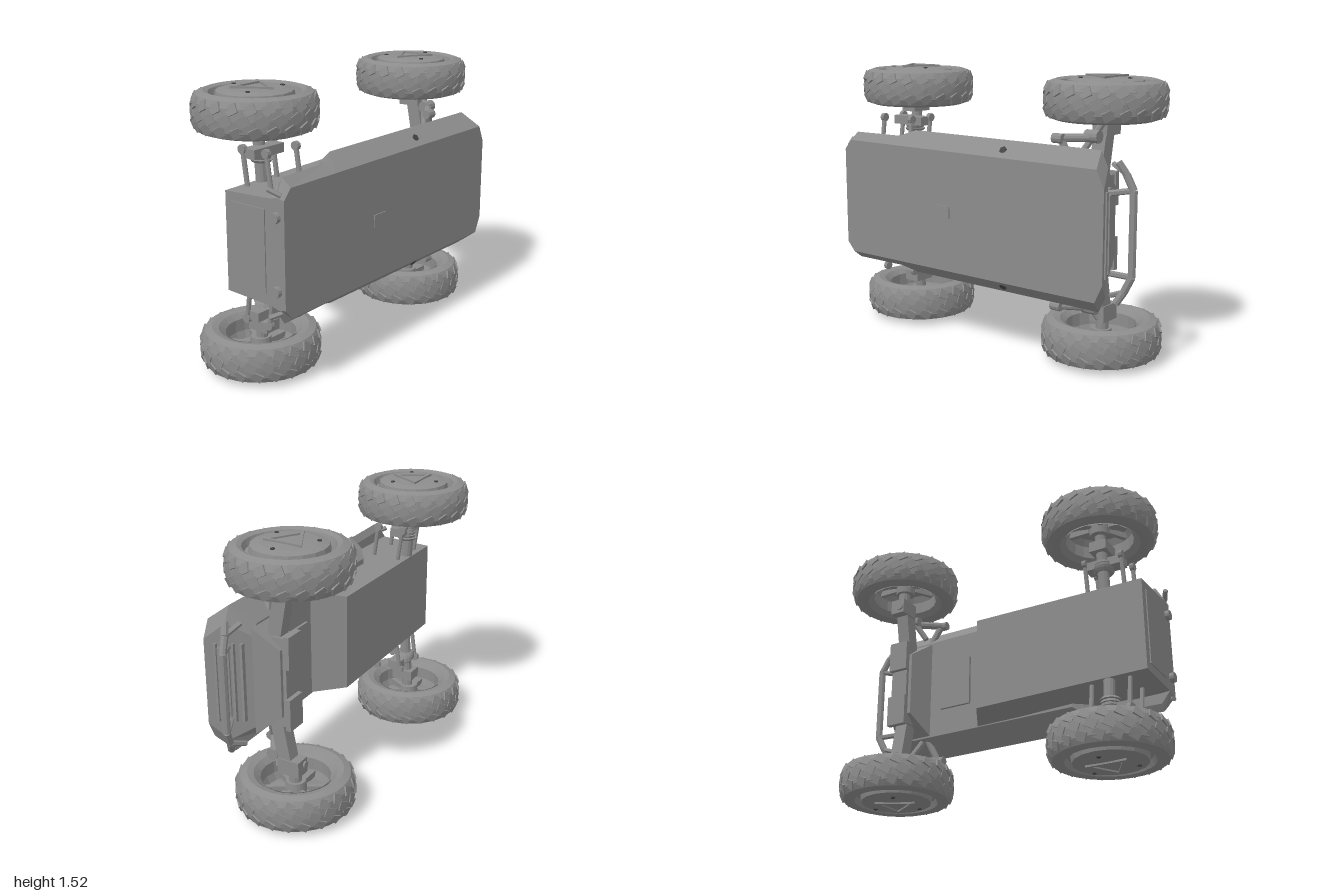
import * as THREE from 'three';

const grey = new THREE.MeshStandardMaterial({ color: 0x8c8c8c, flatShading: true, side: THREE.DoubleSide });
grey.name = 'bodyGrey';
const dark = new THREE.MeshStandardMaterial({ color: 0x444444, flatShading: true });
dark.name = 'holeDark';

const V = (x, y, z) => new THREE.Vector3(x, y, z);

function add(parent, name, geo, pos = [0, 0, 0], rot = [0, 0, 0], mat = grey) {
  const m = new THREE.Mesh(geo, mat);
  m.name = name;
  m.position.set(...pos);
  m.rotation.set(...rot);
  parent.add(m);
  return m;
}
const box = (p, name, size, pos, rot) => add(p, name, new THREE.BoxGeometry(...size), pos, rot);

// Straight member between two points
function bar(p, name, a, b, w, sides = 4) {
  const A = V(...a), B = V(...b), d = B.clone().sub(A);
  const geo = new THREE.CylinderGeometry(w, w, d.length(), sides);
  if (sides === 4) geo.rotateY(Math.PI / 4);
  const m = add(p, name, geo);
  m.position.copy(A).addScaledVector(d, 0.5);
  m.quaternion.setFromUnitVectors(V(0, 1, 0), d.normalize());
  return m;
}

// Shell through stations along x; each station lists [x, z, halfWidth], mirrored across y
function loft(stations) {
  const rings = stations.map(s => [
    ...s.map(([x, z, h]) => [x, h, z]),
    ...[...s].reverse().map(([x, z, h]) => [x, -h, z])]);
  const n = rings[0].length, pos = rings.flat(2), idx = [];
  for (let s = 0; s < rings.length - 1; s++)
    for (let i = 0; i < n; i++) {
      const j = (i + 1) % n, a = s * n, b = a + n;
      idx.push(a + i, b + i, b + j, a + i, b + j, a + j);
    }
  const last = (rings.length - 1) * n;
  for (let k = 0; k < n / 2 - 1; k++) {
    const q = [k, k + 1, n - 2 - k, n - 1 - k];
    idx.push(q[0], q[1], q[2], q[0], q[2], q[3]);
    idx.push(last + q[0], last + q[2], last + q[1], last + q[0], last + q[3], last + q[2]);
  }
  const g = new THREE.BufferGeometry();
  g.setAttribute('position', new THREE.Float32BufferAttribute(pos, 3));
  g.setIndex(idx);
  const out = g.toNonIndexed();
  out.computeVertexNormals();
  return out;
}

const lathe = (pts, seg) => new THREE.LatheGeometry(pts.map(p => new THREE.Vector2(...p)), seg);

// Wheel with its axis on y, outer face towards +y
function wheel(name, turn) {
  const g = new THREE.Group();
  g.name = name;
  add(g, 'tyre', lathe([[0.2, -0.07], [0.225, -0.095], [0.26, -0.105], [0.298, -0.092], [0.316, -0.06],
    [0.322, 0], [0.316, 0.06], [0.298, 0.092], [0.26, 0.105], [0.235, 0.095], [0.22, 0.06]], 30));
  // Tread lugs in slanted rows
  for (let i = 0; i < 22; i++)
    for (const row of [-1, 0, 1]) {
      const holder = new THREE.Group();
      holder.name = 'treadLug';
      holder.rotation.y = (i + row * 0.35) / 22 * Math.PI * 2;
      const m = box(holder, 'lug', [0.01, 0.05, 0.06], [row ? 0.312 : 0.319, row * 0.056, 0]);
      m.rotation.set(0.45, 0, row * 0.32);
      g.add(holder);
    }
  // Outer cover and deep inner rim
  add(g, 'rimCover', lathe([[0.225, 0.06], [0.205, 0.068], [0.198, 0.1], [0.15, 0.112], [0.07, 0.116], [0, 0.117]], 18));
  add(g, 'innerRim', lathe([[0, -0.04], [0.055, -0.04], [0.06, 0.02], [0.17, 0.04], [0.188, 0], [0.19, -0.07], [0.205, -0.085]], 20));
  for (let i = 0; i < 6; i++) {
    const a = i * Math.PI / 3;
    box(g, 'innerSpoke', [0.12, 0.035, 0.025], [Math.cos(a) * 0.12, 0.015, Math.sin(a) * 0.12], [0, -a, 0]);
  }
  // Triangular emblem-free hub frame and bolts
  const hub = new THREE.Group();
  hub.name = 'hubTriangle';
  hub.rotation.y = turn;
  const tri = (r, S) => {
    const s = new S();
    for (let i = 0; i < 3; i++) {
      const a = -Math.PI / 2 + i * Math.PI * 2 / 3;
      s[i ? 'lineTo' : 'moveTo'](Math.cos(a) * r, Math.sin(a) * r);
    }
    s.closePath();
    return s;
  };
  const shape = tri(0.13, THREE.Shape);
  shape.holes.push(tri(0.095, THREE.Path));
  add(hub, 'triangleFrame', new THREE.ExtrudeGeometry(shape, { depth: 0.015, bevelEnabled: false }),
    [0, 0.11, 0], [-Math.PI / 2, 0, 0]);
  for (let i = 0; i < 3; i++) {
    const a = -Math.PI / 2 + i * Math.PI * 2 / 3;
    add(hub, 'boltHole', new THREE.CylinderGeometry(0.012, 0.012, 0.006, 8),
      [Math.cos(a) * 0.145, 0.114, Math.sin(a) * 0.145], [0, 0, 0], dark);
  }
  g.add(hub);
  return g;
}

// Suspension and wheels of one flank, built on +y
function flank(name, sign) {
  const g = new THREE.Group();
  g.name = name;
  g.scale.y = sign;
  const rear = wheel('rearWheel', 0), front = wheel('frontWheel', 0.5);
  rear.position.set(-0.67, 0.637, -0.035);
  front.position.set(0.665, 0.637, -0.02);
  g.add(rear, front);
  // Front beam, knuckle, shock and steering link
  bar(g, 'frontBeam', [0.68, 0.15, 0.075], [0.68, 0.54, 0], 0.055);
  box(g, 'frontKnuckle', [0.09, 0.09, 0.13], [0.68, 0.5, -0.01]);
  bar(g, 'frontAxle', [0.67, 0.48, -0.02], [0.67, 0.65, -0.02], 0.035, 12);
  bar(g, 'shock', [0.53, 0.445, 0.2], [0.68, 0.45, 0.1], 0.022, 10);
  bar(g, 'shockEye', [0.63, 0.455, 0.1], [0.71, 0.455, 0.1], 0.034, 12);
  bar(g, 'shockMount', [0.5, 0.445, 0.21], [0.56, 0.445, 0.21], 0.026, 10);
  bar(g, 'lowerLink', [0.54, 0.44, 0.2], [0.6, 0.3, 0.17], 0.02, 8);
  bar(g, 'steeringLink', [0.6, 0.34, 0.13], [0.7, 0.52, 0.06], 0.018, 8);
  bar(g, 'knucklePin', [0.66, 0.49, -0.085], [0.66, 0.49, -0.02], 0.02, 8);
  // Rear carrier, links and axle
  box(g, 'rearCarrier', [0.22, 0.05, 0.08], [-0.675, 0.435, 0.02]);
  for (const x of [-0.785, -0.565])
    for (const z of [-0.02, 0.14]) {
      bar(g, 'rearLink', [x, 0.25, z + 0.03], [x, 0.46, z], 0.013, 8);
      bar(g, 'linkEye', [x - 0.012, 0.455, z], [x + 0.012, 0.455, z], 0.024, 10);
    }
  bar(g, 'rearAxle', [-0.67, 0.25, 0], [-0.67, 0.65, -0.03], 0.032, 12);
  for (let i = 0; i < 4; i++)
    add(g, 'axleBoot', new THREE.CylinderGeometry(0.06 - i * 0.004, 0.05, 0.014, 14), [-0.67, 0.38 + i * 0.018, 0]);
  box(g, 'rearKnuckle', [0.1, 0.06, 0.13], [-0.67, 0.52, -0.01]);
  // Bumper tubing, guard plates and rear stub
  const path = [[0.9, 0.36, 0.22], [0.935, 0.3, 0.2], [0.972, 0.22, 0.19], [0.972, 0, 0.19]];
  for (let i = 0; i < 3; i++) bar(g, 'bumperTube', path[i], path[i + 1], 0.02, 8);
  bar(g, 'bumperStay', [0.84, 0.2, 0.25], [0.965, 0.22, 0.19], 0.016, 6);
  bar(g, 'bumperUpright', [0.84, 0.34, 0.17], [0.935, 0.3, 0.2], 0.014, 6);
  box(g, 'guardPad', [0.12, 0.18, 0.03], [0.68, 0.175, -0.03]);
  bar(g, 'rearStub', [-0.925, 0.19, 0.305], [-0.89, 0.19, 0.305], 0.028, 12);
  bar(g, 'rearCornerTube', [-0.89, 0.3, 0.33], [-0.92, 0.33, 0.27], 0.014, 6);
  add(g, 'plateHole', new THREE.CylinderGeometry(0.022, 0.022, 0.006, 6), [0.25, 0.37, 0.312], [0.92, 0, 0], dark);
  return g;
}

export function createModel() {
  const model = new THREE.Group();
  model.name = 'buggyChassis';
  const body = new THREE.Group();
  body.name = 'body';
  body.position.y = 0.775;
  model.add(body);

  // Wide lower hull with rear wheel cut-outs and a raked nose
  add(body, 'hull', loft([
    [[-0.9, 0.355, 0.28], [-0.9, 0.31, 0.29], [-0.9, 0.27, 0.28]],
    [[-0.85, 0.355, 0.335], [-0.85, 0.3, 0.378], [-0.85, 0.275, 0.34]],
    [[-0.52, 0.355, 0.335], [-0.52, 0.29, 0.38], [-0.52, 0.265, 0.34]],
    [[-0.43, 0.355, 0.335], [-0.43, 0.25, 0.415], [-0.43, 0.18, 0.35]],
    [[-0.38, 0.355, 0.335], [-0.38, 0.25, 0.415], [-0.38, 0.14, 0.31]],
    [[0.86, 0.355, 0.335], [0.82, 0.25, 0.415], [0.74, 0.14, 0.31]],
    [[0.905, 0.355, 0.24], [0.86, 0.25, 0.33], [0.79, 0.14, 0.26]],
  ]));
  // Deck box with sloping front
  add(body, 'deckBox', loft([
    [[-0.9, 0.32, 0.28], [-0.9, -0.035, 0.265]],
    [[0.26, 0.2, 0.315], [0.13, -0.035, 0.275]],
  ]));
  // Front housing between the beams
  add(body, 'frontHousing', loft([
    [[0.56, 0.14, 0.3], [0.61, 0.0, 0.19]],
    [[0.79, 0.14, 0.3], [0.75, 0.0, 0.19]],
  ]));
  box(body, 'beamCentre', [0.1, 0.5, 0.08], [0.68, 0, 0.02]);
  box(body, 'frontDeckPlate', [0.2, 0.3, 0.02], [0.38, 0, 0.135]);
  // Grille panel and slats on the nose
  box(body, 'grillePanel', [0.02, 0.4, 0.06], [0.875, 0, 0.26], [0, 0.4, 0]);
  for (const z of [0.18, 0.22, 0.3])
    box(body, 'grilleSlat', [0.03, 0.44, 0.015], [0.8 + (z - 0.14) * 0.49, 0, z]);
  // Service hatch and rear panel
  box(body, 'hatch', [0.1, 0.07, 0.008], [-0.14, -0.0, 0.357]);
  box(body, 'rearPanel', [0.008, 0.44, 0.22], [-0.902, 0, 0.12]);

  body.add(flank('upperFlank', 1), flank('lowerFlank', -1));
  return model;
}
